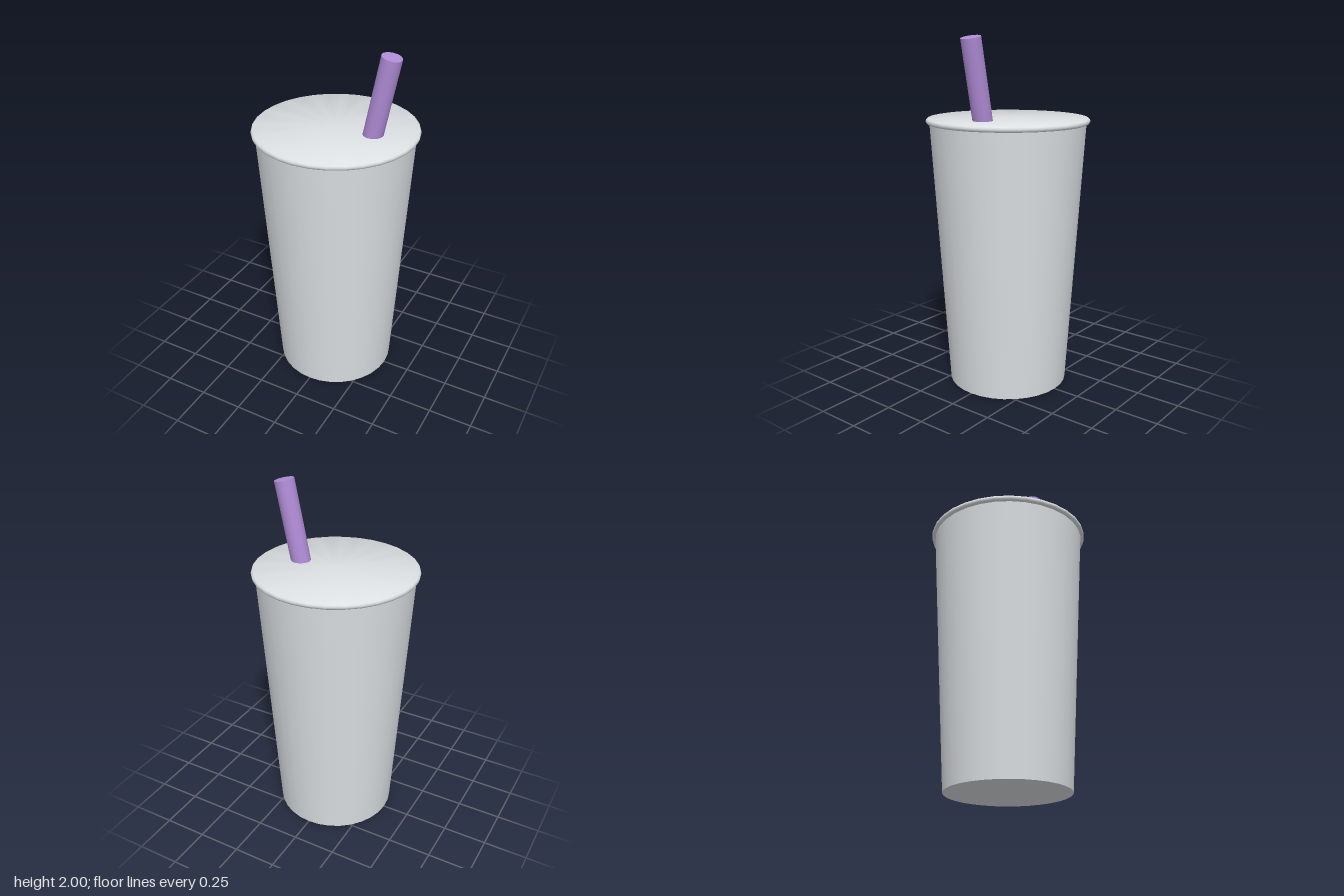
import * as THREE from 'three';
import { toCreasedNormals } from 'three/addons/utils/BufferGeometryUtils.js';

export function createModel() {
  const model = new THREE.Group();
  model.name = 'drinkCup';

  const paper = new THREE.MeshStandardMaterial({ color: 0xdce0e3 });
  paper.name = 'paleGrey';
  const plastic = new THREE.MeshStandardMaterial({ color: 0xb08cd6 });
  plastic.name = 'purple';

  const add = (name, geometry, material) => {
    const mesh = new THREE.Mesh(geometry, material);
    mesh.name = name;
    model.add(mesh);
    return mesh;
  };

  // Tapered cup, closed at the base
  const cupHeight = 1.53;
  const cup = add('cup', new THREE.CylinderGeometry(0.44, 0.343, cupHeight, 32), paper);
  cup.position.y = cupHeight / 2;

  // Flat lid with a small rounded rim
  const lidProfile = [
    [0, 1.52], [0.45, 1.52], [0.457, 1.525], [0.46, 1.535],
    [0.457, 1.545], [0.45, 1.55], [0, 1.55],
  ].map(([r, y]) => new THREE.Vector2(r, y));
  add('lid', toCreasedNormals(new THREE.LatheGeometry(lidProfile, 32), 0.7), paper);

  // Leaning straw, starting just under the lid
  const lean = 0.205;
  const length = 0.5;
  const top = new THREE.Vector3(0.313, 1.989, 0);
  const axis = new THREE.Vector3(Math.sin(lean), Math.cos(lean), 0);
  const straw = add('straw', new THREE.CylinderGeometry(0.055, 0.055, length, 20), plastic);
  straw.position.copy(top).addScaledVector(axis, -length / 2);
  straw.rotation.z = -lean;

  return model;
}
